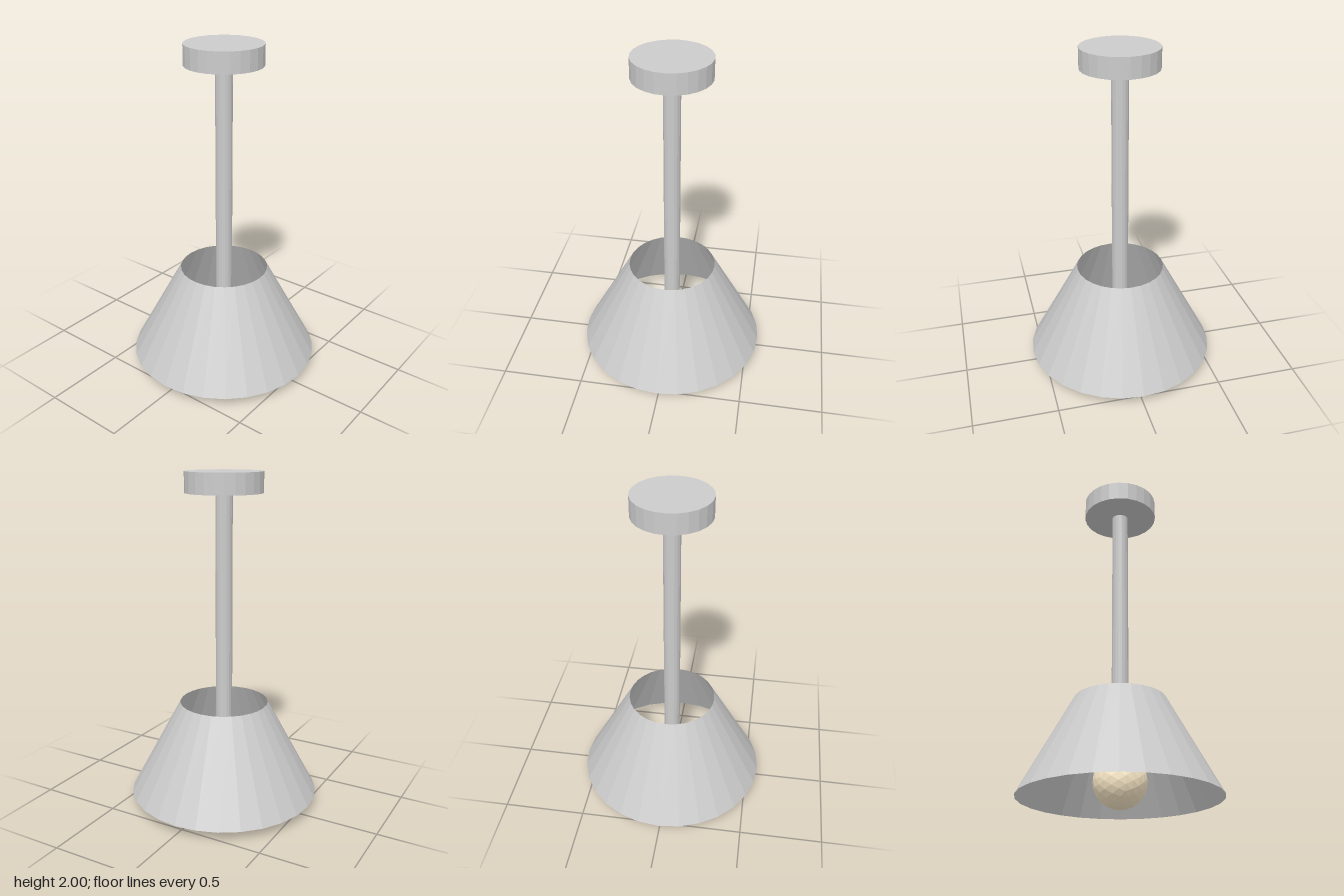
import * as THREE from 'three';

export function createModel() {
  const group = new THREE.Group();
  group.name = 'pendantLamp';
  const grey = new THREE.MeshStandardMaterial({ color: 0xcccccc, flatShading: true });
  const greyOpen = new THREE.MeshStandardMaterial({ color: 0xcccccc, flatShading: true, side: THREE.DoubleSide });
  const warm = new THREE.MeshStandardMaterial({ color: 0xffeecc, flatShading: true });

  const add = (name, geometry, material, y) => {
    const mesh = new THREE.Mesh(geometry, material);
    mesh.name = name;
    mesh.position.y = y;
    group.add(mesh);
  };
  // Upright round part between two heights
  const round = (name, rTop, rBottom, y0, y1, sides, open = false) =>
    add(name, new THREE.CylinderGeometry(rTop, rBottom, y1 - y0, sides, 1, open),
      open ? greyOpen : grey, (y0 + y1) / 2);

  round('ceilingMount', 0.226, 0.226, 1.88, 2, 24);
  round('stem', 0.05, 0.05, 0.29, 1.88, 16);
  // Thin shade, open at both ends
  round('shade', 0.267, 0.573, 0.06, 0.63, 28, true);
  add('bulb', new THREE.IcosahedronGeometry(0.152, 3), warm, 0.152);

  return group;
}
